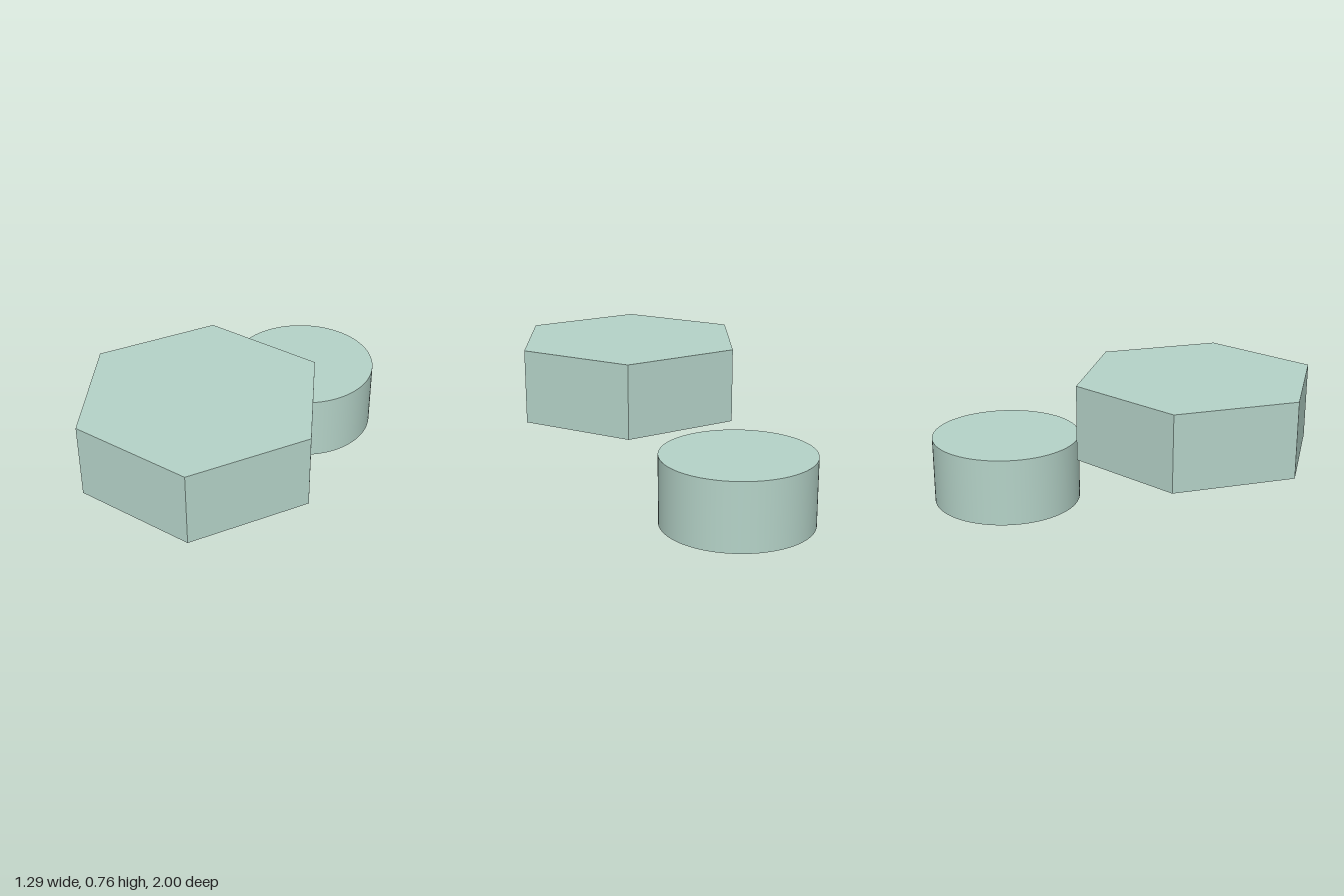
import * as THREE from 'three';

const COLOR = 0xb5d3c8;

// Upright prism standing on y = bottom
function prism(name, radius, height, sides, [x, bottom, z], flatShading) {
  const geometry = new THREE.CylinderGeometry(radius, radius, height, sides, 1, false, Math.PI / 2);
  const material = new THREE.MeshStandardMaterial({ color: COLOR, flatShading });
  const mesh = new THREE.Mesh(geometry, material);
  mesh.name = name;
  mesh.position.set(x, bottom + height / 2, z);
  return mesh;
}

export function createModel() {
  const model = new THREE.Group();
  model.name = 'hexagonAndDisc';

  // Raised hexagonal block at the front, corners pointing left and right
  model.add(prism('hexagonalBlock', 0.645, 0.4, 6, [0, 0.365, 0.441], true));

  // Round disc on the ground behind it
  model.add(prism('roundDisc', 0.403, 0.365, 96, [-0.037, 0, -0.597], false));

  return model;
}
